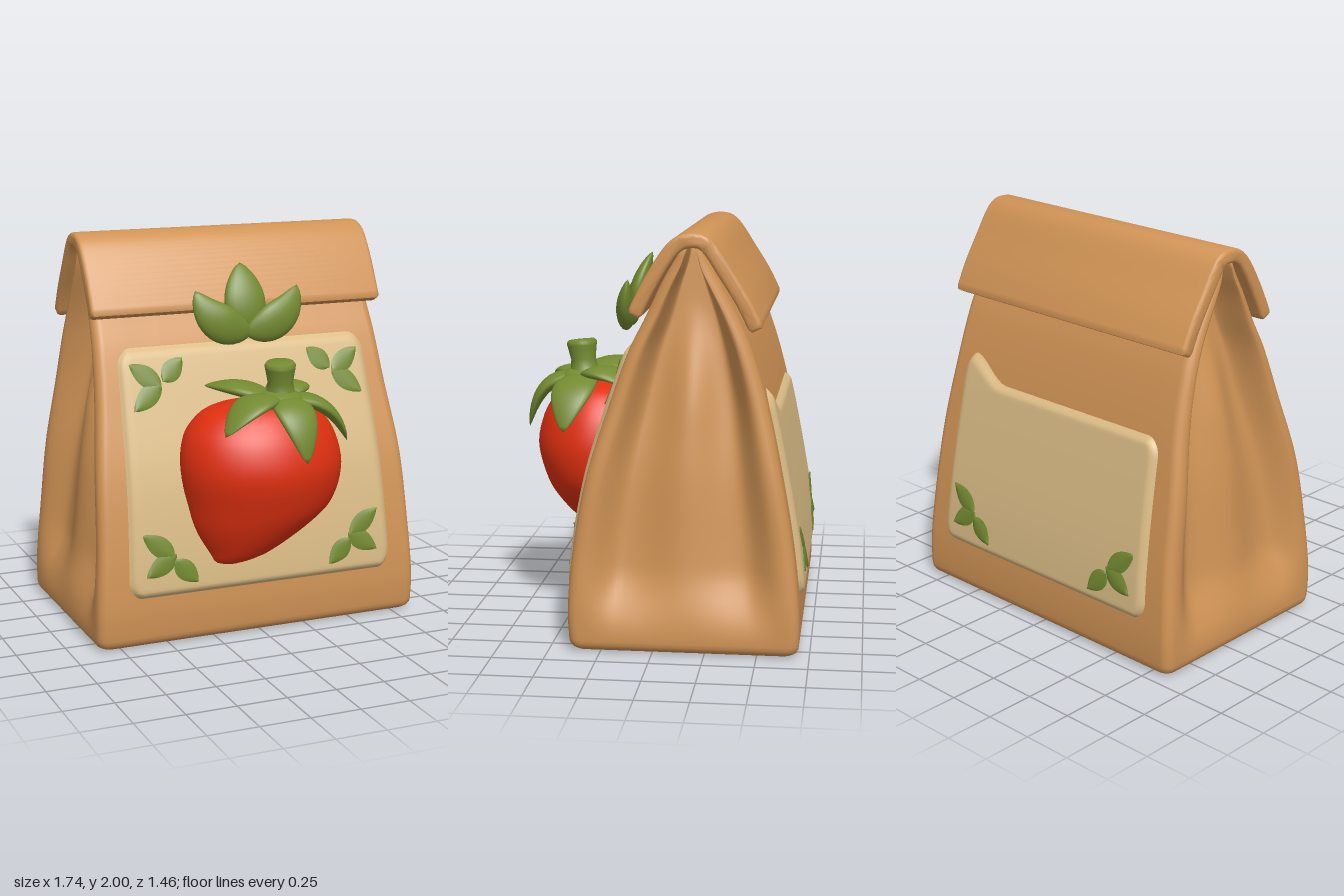
import * as THREE from 'three';
import { mergeVertices, toCreasedNormals } from 'three/addons/utils/BufferGeometryUtils.js';

const V = (x, y, z) => new THREE.Vector3(x, y, z);
const { lerp, smoothstep } = THREE.MathUtils;

// Smooth surface from fn(u, v) -> [x, y, z]; outward is du x dv
function grid(fn, nu, nv) {
  const pos = [], idx = [];
  for (let j = 0; j <= nv; j++) for (let i = 0; i <= nu; i++) pos.push(...fn(i / nu, j / nv));
  for (let j = 0; j < nv; j++) for (let i = 0; i < nu; i++) {
    const a = j * (nu + 1) + i, d = a + nu + 1;
    idx.push(a, a + 1, d, a + 1, d + 1, d);
  }
  let g = new THREE.BufferGeometry();
  g.setAttribute('position', new THREE.Float32BufferAttribute(pos, 3));
  g.setIndex(idx);
  g = mergeVertices(g, 1e-5);
  g.computeVertexNormals();
  return g;
}

// Smooth (Hermite) lookup in a table of rows [y, a, b, ...]
function lookup(table, y) {
  const n = table.length;
  let i = 0;
  while (i < n - 2 && y > table[i + 1][0]) i++;
  const slope = (k, c) => {
    const p = table[Math.max(k - 1, 0)], q = table[Math.min(k + 1, n - 1)];
    return (q[c] - p[c]) / (q[0] - p[0]);
  };
  const A = table[i], B = table[i + 1], h = B[0] - A[0];
  const t = THREE.MathUtils.clamp((y - A[0]) / h, 0, 1), s = 1 - t;
  return A.slice(1).map((a, k) => a * (1 + 2 * t) * s * s + B[k + 1] * t * t * (3 - 2 * t)
    + h * t * s * (s * slope(i, k + 1) - t * slope(i + 1, k + 1)));
}

// Bag profile: y, front z, back z, half width
const BAG = [
  [0, 0.40, -0.70, 0.87], [0.2, 0.41, -0.70, 0.87], [0.5, 0.385, -0.67, 0.85],
  [0.85, 0.32, -0.61, 0.83], [1.2, 0.21, -0.535, 0.79], [1.45, 0.12, -0.46, 0.77],
  [1.6, 0.045, -0.395, 0.76], [1.78, -0.04, -0.30, 0.755], [1.93, -0.13, -0.22, 0.75],
];
const faceZ = (side, y) => lookup(BAG, y)[side > 0 ? 0 : 1];

// Half of the bag's outline at height y, from front middle to back middle
function halfRing(y, inset) {
  let [f, b, w] = lookup(BAG, y);
  f -= inset; b += inset; w -= inset;
  const r = Math.min(0.05, (f - b) / 4), out = [];
  for (const k of [0, 0.3, 0.6, 0.85]) out.push([k * (w - r), f]);
  const corner = (zc, a0) => {
    for (let i = 0; i <= 5; i++) {
      const a = a0 + i * Math.PI / 10;
      out.push([w - r + r * Math.sin(a), zc + r * Math.cos(a)]);
    }
  };
  corner(f - r, 0);
  // sunken gusset with a soft ridge down its middle
  const grow = smoothstep(y, 0.06, 0.4) * (0.07 + 0.06 * y);
  for (let i = 1; i < 40; i++) {
    const u = Math.abs(i / 20 - 1);
    const ridge = 0.5 * (1 - smoothstep(u, 0, 0.55)) * (1 - smoothstep(y, 1.1, 1.7));
    const depth = grow * smoothstep(1 - u, 0.04, 0.4) * (1 - ridge);
    out.push([w - depth, lerp(f - r, b + r, i / 40)]);
  }
  corner(b + r, Math.PI / 2);
  for (const k of [0.85, 0.6, 0.3, 0]) out.push([k * (w - r), b]);
  return out;
}

function bagGeometry() {
  const rows = [[0, 0.05], [0.006, 0.028], [0.018, 0.012], [0.035, 0.003], [0.055, 0]];
  for (let i = 1; i <= 48; i++) rows.push([lerp(0.055, 1.93, i / 48), 0]);
  const rings = rows.map(([y, inset]) => {
    const half = halfRing(y, inset);
    const mirror = half.slice(0, -1).reverse().map(([x, z]) => [-x, z]);
    return [...half, ...mirror].map(([x, z]) => [x, y, z]);
  });
  // close the floor and the top
  rings.unshift(rings[0].map(() => [0, 0, -0.15]));
  rings.push(rings.at(-1).map(() => [0, 1.93, -0.175]));
  const nu = rings[0].length - 1, nv = rings.length - 1;
  return grid((u, v) => rings[Math.round(v * nv)][Math.round(u * nu)], nu, nv);
}

// Rolled-over top: a curved band extruded across the bag
function flapGeometry() {
  const path = new THREE.SplineCurve([
    [0.085, 1.63], [0.03, 1.74], [-0.04, 1.86], [-0.105, 1.94], [-0.175, 1.965],
    [-0.25, 1.94], [-0.345, 1.80], [-0.42, 1.68], [-0.475, 1.57],
  ].map(([z, y]) => new THREE.Vector2(-z, y)));
  const N = 40, h = 0.035, outer = [], inner = [];
  for (let i = 0; i <= N; i++) {
    const p = path.getPoint(i / N), t = path.getTangent(i / N);
    const n = new THREE.Vector2(-t.y, t.x);
    outer.push(p.clone().addScaledVector(n, h));
    inner.unshift(p.clone().addScaledVector(n, -h));
    if (i === N) outer.push(p.clone().addScaledVector(n, h * 0.7).addScaledVector(t, 0.02),
      p.clone().addScaledVector(n, -h * 0.7).addScaledVector(t, 0.02));
    if (i === 0) outer.unshift(p.clone().addScaledVector(n, -h * 0.7).addScaledVector(t, -0.02),
      p.clone().addScaledVector(n, h * 0.7).addScaledVector(t, -0.02));
  }
  const g = new THREE.ExtrudeGeometry(new THREE.Shape([...outer, ...inner]), {
    depth: 1.53, bevelThickness: 0.02, bevelSize: 0.018, bevelOffset: -0.018, bevelSegments: 3,
  });
  g.translate(0, 0, -0.765).rotateY(Math.PI / 2);
  return toCreasedNormals(g, 0.9);
}

// Rounded label lying on the front (side 1) or back (side -1)
function labelGeometry(side, y0, y1, rise) {
  const rc = 0.1;
  return grid((u, v) => {
    const s = Math.sin((u - 0.5) * Math.PI), k = (1 - Math.cos(v * Math.PI)) / 2;
    const yb = lerp(y0, y1, k), d = Math.min(yb - y0, y1 - yb);
    const inset = d < rc ? rc - Math.sqrt(Math.max(0, rc * rc - (rc - d) ** 2)) : 0;
    const w = lerp(0.725, 0.675, (yb - 0.25) / 1.2) - inset;
    const y = yb + rise * k * smoothstep(-s, 0.6, 1);
    const edge = Math.min(d, w * (1 - Math.abs(s)));
    const z = faceZ(side, y) + side * (0.03 * smoothstep(edge, 0, 0.04) - 0.004);
    return [side * s * w, y, z];
  }, 40, 48);
}

// Thin painted leaf following the label
function printedLeaf(side, [x0, y0], [x1, y1], w) {
  const L = Math.hypot(x1 - x0, y1 - y0), px = (y1 - y0) / L, py = -(x1 - x0) / L;
  return grid((u, v) => {
    const s = 2 * u - 1, hw = w * Math.sin(Math.PI * v ** 0.85) ** 0.8 * s;
    const y = lerp(y0, y1, v) + py * hw;
    const z = faceZ(side, y) + side * (0.029 + 0.007 * (1 - s * s));
    return [side * (lerp(x0, x1, v) + px * hw), y, z];
  }, 8, 12);
}

// Plump leaf swept along a bend; n points out of its upper face
function plumpLeaf(p0, p1, p2, width, thick, n) {
  const path = new THREE.QuadraticBezierCurve3(p0, p1, p2);
  return grid((u, v) => {
    const t = path.getTangent(v), side = n.clone().cross(t).normalize();
    const up = t.clone().cross(side), a = u * Math.PI * 2;
    const k = Math.max(0, Math.sin(Math.PI * v ** 0.85)) ** 0.7;
    return path.getPoint(v).addScaledVector(side, Math.cos(a) * width * k)
      .addScaledVector(up, Math.sin(a) * thick * k).toArray();
  }, 20, 20);
}

// Berry profile: y, left x, right x, back z, front z
const BERRY = [
  [0.375, -0.18, -0.18, 0.40, 0.40], [0.40, -0.27, -0.06, 0.30, 0.46], [0.44, -0.30, 0.06, 0.2, 0.51],
  [0.57, -0.365, 0.27, 0.1, 0.595], [0.68, -0.39, 0.38, 0.07, 0.645], [0.86, -0.418, 0.42, 0.05, 0.69],
  [1.0, -0.405, 0.395, 0.06, 0.665], [1.1, -0.35, 0.34, 0.1, 0.61], [1.18, -0.22, 0.24, 0.2, 0.53],
  [1.22, 0.05, 0.05, 0.43, 0.43],
];

export function createModel() {
  const model = new THREE.Group();
  const mat = (name, color) => {
    const m = new THREE.MeshStandardMaterial({ color });
    m.name = name;
    return m;
  };
  const paper = mat('kraft paper', 0xd09355), cream = mat('cream', 0xdabb85);
  const green = mat('leaf green', 0x738a31), red = mat('berry red', 0xe03010);
  const add = (name, geometry, material) => {
    const m = new THREE.Mesh(geometry, material);
    m.name = name;
    model.add(m);
    return m;
  };

  add('bagBody', bagGeometry(), paper);
  add('foldedTop', flapGeometry(), paper);
  add('frontLabel', labelGeometry(1, 0.25, 1.465, 0), cream);
  add('backLabel', labelGeometry(-1, 0.25, 1.15, 0.12), cream);

  // Leaf sprigs in the label corners (the back has only the lower ones)
  const low = [[[0.48, 0.46], [0.64, 0.58]], [[0.47, 0.47], [0.63, 0.37]], [[0.48, 0.44], [0.36, 0.32]]];
  const high = [[[0.465, 1.27], [0.62, 1.385]], [[0.465, 1.29], [0.62, 1.165]], [[0.455, 1.295], [0.34, 1.4]]];
  for (const [side, sprigs] of [[1, [...low, ...high]], [-1, low]])
    for (const m of [1, -1]) for (const [a, b] of sprigs)
      add('labelLeaf', printedLeaf(side, [m * a[0], a[1]], [m * b[0], b[1]], 0.05), green);

  // Strawberry
  add('strawberry', grid((u, v) => {
    const y = lerp(0.375, 1.22, (1 - Math.cos(v * Math.PI)) / 2), a = u * Math.PI * 2;
    const [l, r, b, f] = lookup(BERRY, y);
    return [(l + r) / 2 + (r - l) / 2 * Math.cos(a), y, (b + f) / 2 - (f - b) / 2 * Math.sin(a)];
  }, 48, 36), red);

  // Calyx leaves: bend, tip, half width
  const heart = V(0.06, 1.2, 0.43);
  for (const [bend, tip, w] of [
    [V(0.08, 1.26, 0.68), V(0.09, 0.945, 0.73), 0.105],
    [V(0.32, 1.25, 0.48), V(0.415, 0.98, 0.5), 0.11],
    [V(0.18, 1.29, 0.32), V(0.27, 1.2, 0.23), 0.11],
    [V(-0.08, 1.28, 0.33), V(-0.24, 1.26, 0.22), 0.11],
    [V(-0.12, 1.28, 0.54), V(-0.28, 1.08, 0.59), 0.11],
  ]) add('calyxLeaf', plumpLeaf(heart, bend, tip, w, 0.035, V(0, 1, 0)), green);
  const crown = add('calyxCentre', new THREE.SphereGeometry(0.13, 24, 16), green);
  crown.scale.y = 0.4;
  crown.position.set(0.06, 1.21, 0.44);

  // Stem
  const stem = add('stem', new THREE.LatheGeometry(
    [[0.1, 0], [0.07, 0.05], [0.063, 0.1], [0.075, 0.17], [0.078, 0.185], [0.068, 0.2], [0, 0.203]]
      .map(([x, y]) => new THREE.Vector2(x, y)), 28), green);
  stem.position.set(0.075, 1.2, 0.44);
  stem.rotation.set(0.1, 0, 0.06);

  // Three-leaf clasp in front of the folded top
  add('claspLeaf', plumpLeaf(V(0, 1.5, 0.2), V(0, 1.68, 0.18), V(0, 1.845, 0.1), 0.11, 0.045, V(0, 0, 1)), green);
  for (const m of [1, -1])
    add('claspLeaf', plumpLeaf(V(-0.02 * m, 1.515, 0.21), V(0.2 * m, 1.53, 0.24),
      V(0.275 * m, 1.73, 0.19), 0.095, 0.045, V(0, 0, 1)), green);

  return model;
}
